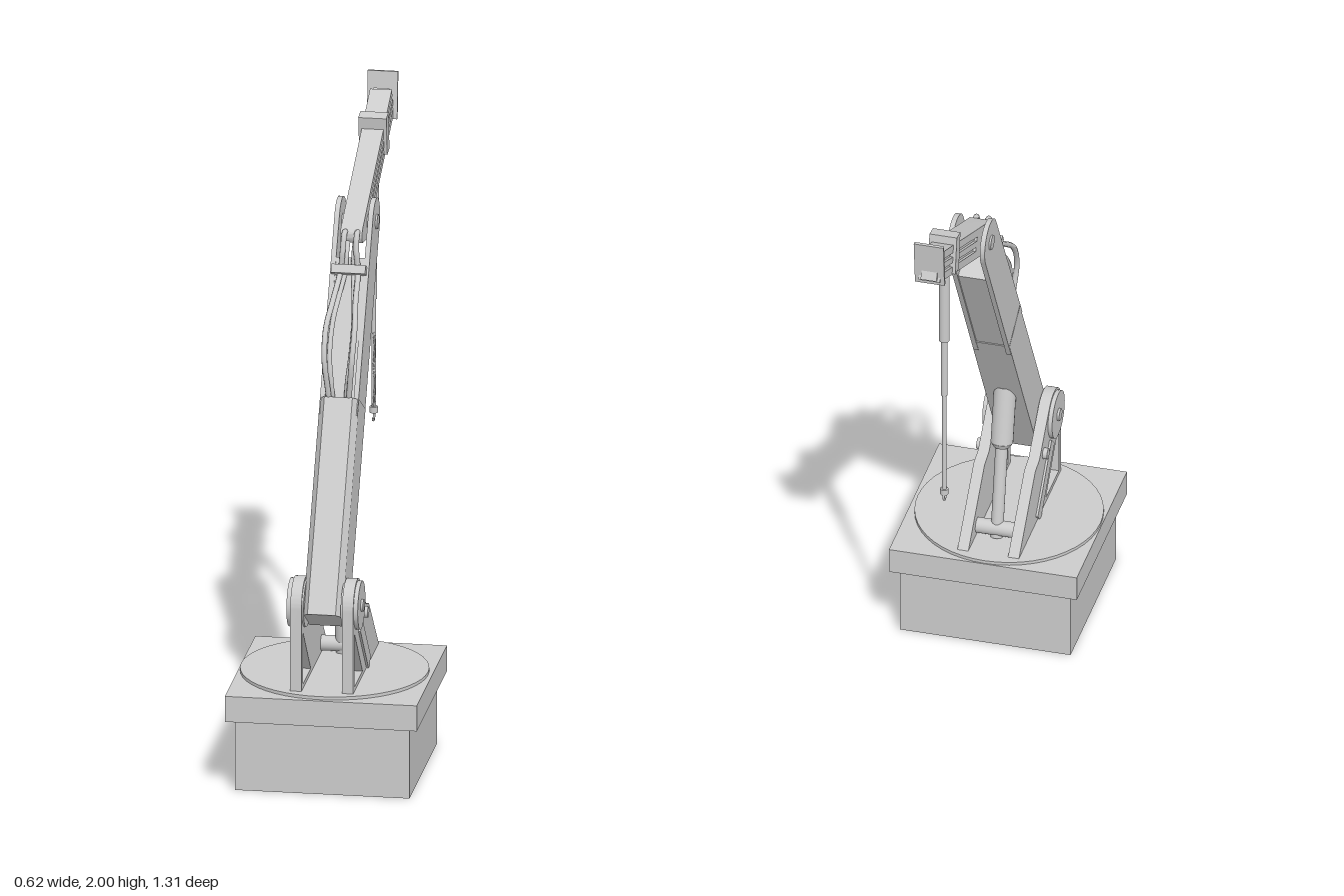
import * as THREE from 'three';
import { toCreasedNormals } from 'three/addons/utils/BufferGeometryUtils.js';

const mat = new THREE.MeshStandardMaterial({ color: 0xcccccc });
const matDouble = new THREE.MeshStandardMaterial({ color: 0xcccccc, side: THREE.DoubleSide });
const V = (x, y, z) => new THREE.Vector3(x, y, z);

function add(parent, name, geo, x = 0, y = 0, z = 0, material = mat) {
  const m = new THREE.Mesh(geo, material);
  m.name = name;
  m.position.set(x, y, z);
  parent.add(m);
  return m;
}
const box = (w, h, d) => new THREE.BoxGeometry(w, h, d);
const polygon = (pts) => new THREE.Shape(pts.map(([a, b]) => new THREE.Vector2(a, b)));

// cylinder whose axis runs along x
const discX = (r, w) => new THREE.CylinderGeometry(r, r, w, 32).rotateZ(Math.PI / 2);

// side profile drawn in (z, y), given a thickness along x
function plateX(shape, w) {
  const g = new THREE.ExtrudeGeometry(shape, { depth: w, bevelEnabled: false, curveSegments: 16 });
  return toCreasedNormals(g.translate(0, 0, -w / 2).rotateY(-Math.PI / 2), 0.5);
}

// cross-section drawn in (x, -z), extruded up y
const column = (shape, h) =>
  new THREE.ExtrudeGeometry(shape, { depth: h, bevelEnabled: false }).rotateX(-Math.PI / 2);

// round bar between two points
function bar(parent, name, a, b, r0, r1 = r0) {
  const m = add(parent, name, new THREE.CylinderGeometry(r1, r0, a.distanceTo(b), 20));
  m.position.copy(a).lerp(b, 0.5);
  m.quaternion.setFromUnitVectors(V(0, 1, 0), b.clone().sub(a).normalize());
  return m;
}
const tube = (pts, r, n = 40) =>
  new THREE.TubeGeometry(new THREE.CatmullRomCurve3(pts.map((p) => V(...p))), n, r, 8);

function buildBase(root) {
  const base = new THREE.Group();
  base.name = 'base';
  base.position.z = 0.347;
  root.add(base);
  // hollow pedestal, open underneath
  const walls = new THREE.CylinderGeometry(0.28 * Math.SQRT2, 0.28 * Math.SQRT2, 0.235, 4, 1, true)
    .rotateY(Math.PI / 4).toNonIndexed();
  walls.computeVertexNormals();
  add(base, 'pedestalWalls', walls, 0, 0.1175, 0, matDouble);
  const sq = (h) => [[-h, -h], [h, -h], [h, h], [-h, h]];
  const rim = polygon(sq(0.308));
  rim.holes.push(polygon(sq(0.279)));
  add(base, 'deckRim', column(rim, 0.075), 0, 0.235, 0);
  add(base, 'deckTop', box(0.616, 0.01, 0.616), 0, 0.315, 0);
  add(base, 'turntable', new THREE.CylinderGeometry(0.3, 0.3, 0.025, 48), -0.005, 0.318, -0.005);
}

function buildBrackets(arm) {
  // side profile: front leg, rounded head, sloping rear brace
  const s = new THREE.Shape();
  s.moveTo(0.6, 0.33);
  s.lineTo(0.6, 0.6);
  s.absarc(0.515, 0.6, 0.085, 0, Math.PI * 0.72, false);
  s.lineTo(0.335, 0.545);
  s.lineTo(0.28, 0.53);
  s.lineTo(0.2, 0.45);
  s.lineTo(0.08, 0.33);
  const hole = polygon([[0.57, 0.345], [0.41, 0.345], [0.57, 0.52]]);
  s.holes.push(hole);
  for (const side of [-1, 1]) {
    const g = new THREE.Group();
    g.name = side > 0 ? 'leftBracket' : 'rightBracket';
    arm.add(g);
    add(g, 'bracketPlate', plateX(s, 0.036), side * 0.083);
    add(g, 'pivotBoss', discX(0.078, 0.055), side * 0.087, 0.6, 0.515);
    add(g, 'pivotPin', discX(0.02, 0.064), side * 0.09, 0.6, 0.515);
    add(g, 'bracketBolt', discX(0.018, 0.02), side * 0.106, 0.535, 0.385);
    // raised rib along the diagonal
    const rib = add(g, 'braceRib', box(0.01, 0.25, 0.05), side * 0.103, 0.43, 0.39);
    rib.rotation.x = 0.75;
  }
}

function buildBoom(arm) {
  const boom = new THREE.Group();
  boom.name = 'boom';
  boom.position.set(0, 0.6, 0.515);
  boom.rotation.x = -0.513;
  arm.add(boom);
  // chamfered outer sleeve
  const sleeve = polygon([[-0.063, 0.1], [-0.063, -0.048], [-0.045, -0.075],
    [0.045, -0.075], [0.063, -0.048], [0.063, 0.1]].reverse());
  add(boom, 'boomSleeve', column(sleeve, 0.705), 0, -0.052, 0);
  add(boom, 'boomBody', box(0.1, 0.5, 0.145), 0, 0.86, -0.024);
  // fork cheeks with round ends
  const cheek = new THREE.Shape();
  cheek.moveTo(-0.102, 0.6);
  cheek.lineTo(0.055, 0.6);
  cheek.lineTo(0.05, 1.244);
  cheek.absarc(-0.026, 1.244, 0.076, 0, Math.PI, false);
  for (const side of [-1, 1]) {
    add(boom, 'forkCheek', plateX(cheek, 0.016), side * 0.054);
    add(boom, 'elbowPin', discX(0.024, 0.012), side * 0.062, 1.244, -0.026);
  }
  add(boom, 'elbowShaft', discX(0.022, 0.11), 0, 1.244, -0.026);
}

function buildJib(arm) {
  const jib = new THREE.Group();
  jib.name = 'jib';
  jib.position.set(0, 1.675, -0.12);
  jib.rotation.x = -1.143;
  arm.add(jib);
  // rounded knuckle at the elbow
  const k = new THREE.Shape();
  k.moveTo(0.05, 0.08);
  k.lineTo(-0.05, 0.08);
  k.lineTo(-0.05, -0.03);
  k.lineTo(0.01, -0.12);
  k.quadraticCurveTo(0.05, -0.125, 0.05, -0.09);
  add(jib, 'knuckle', plateX(k, 0.07));
  // nested beam with side rails
  add(jib, 'jibCore', box(0.052, 0.56, 0.092), 0, 0.285, 0);
  [[-0.037, 0.026], [0, 0.02], [0.037, 0.026]].forEach(([z, h]) =>
    add(jib, 'jibRail', box(0.07, 0.54, h), 0, 0.285, z));
  const tip = add(arm, 'tipPlate', box(0.097, 0.155, 0.01), 0, 1.922, -0.639);
  tip.rotation.x = -0.1;
}

function buildHoist(arm) {
  const hoist = new THREE.Group();
  hoist.name = 'hoist';
  hoist.position.z = -0.458;
  arm.add(hoist);
  const collar = add(hoist, 'collar', box(0.09, 0.128, 0.045), 0, 1.852, -0.002);
  collar.rotation.x = 0.16;
  // telescoping drop tube
  [[1.51, 1.81, 0.017], [1.3, 1.51, 0.011], [0.93, 1.3, 0.0075]].forEach(([a, b, r]) =>
    bar(hoist, 'dropTube', V(0, a, 0), V(0, b, 0), r));
  add(hoist, 'tubeCollar', new THREE.CylinderGeometry(0.013, 0.013, 0.02, 16), 0, 0.93, 0);
  add(hoist, 'hook', tube([[0, 0.93, 0], [0, 0.912, -0.008], [0, 0.897, 0],
    [0, 0.898, 0.012], [0, 0.908, 0.016]], 0.004, 20));
  // slack cable beside the tube
  add(hoist, 'slackCable', tube([[0, 1.19, 0.006], [0.006, 1.15, 0.017], [0.004, 1.11, 0.013],
    [0, 1.07, 0.006], [0.006, 1.03, 0.012], [0.004, 0.98, 0.016], [0, 0.94, 0.006]], 0.003));
}

function buildHydraulics(arm) {
  // lift ram behind the boom
  const foot = V(0, 0.33, 0.185), mid = V(0, 0.65, 0.25), head = V(0, 0.84, 0.293);
  bar(arm, 'ramRod', foot, mid, 0.02);
  bar(arm, 'ramBarrel', mid, head, 0.036);
  bar(arm, 'ramGland', V(0, 0.635, 0.247), mid, 0.026, 0.036);
  add(arm, 'ramFoot', discX(0.025, 0.13), 0, 0.36, 0.19);
  // hoses from the sleeve to the elbow
  for (const s of [-1, 1]) {
    add(arm, 'outerHose', tube([[s * 0.03, 1.17, 0.245], [s * 0.035, 1.23, 0.257], [s * 0.044, 1.33, 0.268],
      [s * 0.046, 1.42, 0.225], [s * 0.036, 1.49, 0.14], [s * 0.028, 1.555, 0.04],
      [s * 0.022, 1.62, 0.035], [s * 0.02, 1.67, 0.012], [s * 0.02, 1.665, -0.03]], 0.009, 60));
    add(arm, 'innerHose', tube([[s * 0.02, 1.17, 0.235], [s * 0.026, 1.25, 0.243], [s * 0.034, 1.33, 0.225],
      [s * 0.034, 1.42, 0.165], [s * 0.022, 1.5, 0.085], [s * 0.014, 1.55, 0.035],
      [s * 0.012, 1.6, 0.022], [s * 0.012, 1.65, -0.02]], 0.008, 60));
  }
  const clamp = add(arm, 'hoseClamp', box(0.11, 0.028, 0.05), 0, 1.557, 0.04);
  clamp.rotation.x = -0.513;
}

export function createModel() {
  const root = new THREE.Group();
  root.name = 'craneArm';
  buildBase(root);
  const arm = new THREE.Group();
  arm.name = 'arm';
  arm.position.x = -0.006;
  root.add(arm);
  [buildBrackets, buildBoom, buildJib, buildHoist, buildHydraulics].forEach((build) => build(arm));
  return root;
}
